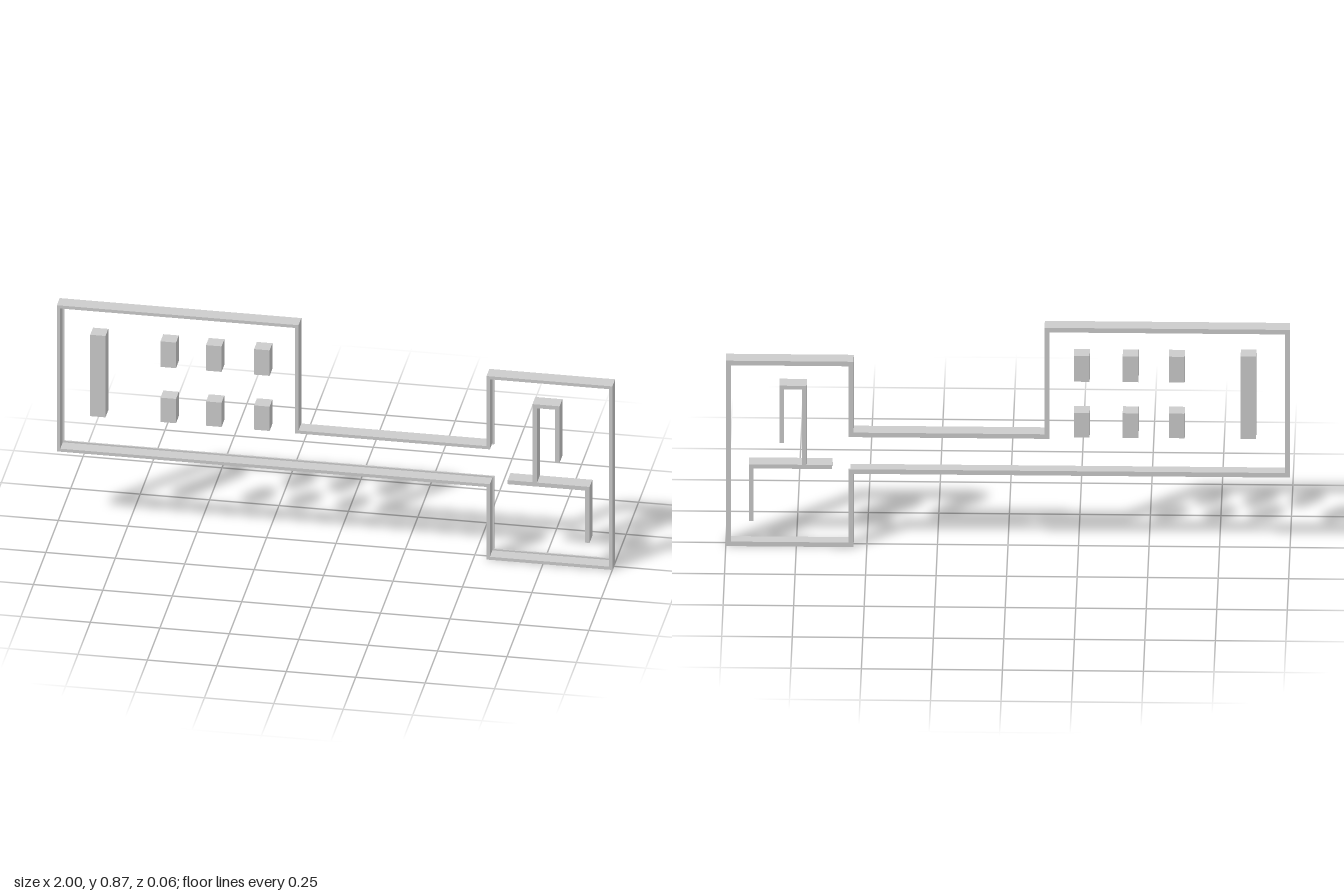
import * as THREE from 'three';

const DEPTH = 0.056;
const LIP = 0.006;
const material = new THREE.MeshStandardMaterial({ color: 0xcccccc, flatShading: true });

// Outer outline, counter-clockwise: long room, corridor, square room
const OUTLINE = [
  [-1, 0.29], [0.547, 0.29], [0.547, 0], [1, 0], [1, 0.733],
  [0.547, 0.733], [0.547, 0.453], [-0.13, 0.453], [-0.13, 0.874], [-1, 0.874],
];

// Moves every side of a right-angled outline inward by d
function inset(points, d) {
  const n = points.length;
  return points.map((p, i) => {
    const a = points[(i + n - 1) % n], b = points[(i + 1) % n];
    const ux = Math.sign(p[0] - a[0]), uy = Math.sign(p[1] - a[1]);
    const vx = Math.sign(b[0] - p[0]), vy = Math.sign(b[1] - p[1]);
    return [p[0] - d * (uy + vy), p[1] + d * (ux + vx)];
  });
}

const toVectors = (points) => points.map(([x, y]) => new THREE.Vector2(x, y));

// Extrudes an outline (with an optional hole) from z0 to z1
function slab(name, points, hole, z0, z1) {
  const shape = new THREE.Shape(toVectors(points));
  if (hole) shape.holes.push(new THREE.Path(toVectors(hole)));
  const geometry = new THREE.ExtrudeGeometry(shape, { depth: z1 - z0, bevelEnabled: false });
  geometry.translate(0, 0, z0);
  const mesh = new THREE.Mesh(geometry, material);
  mesh.name = name;
  return mesh;
}

// Full-depth block between two corners
function block(name, x0, x1, y0, y1) {
  const mesh = new THREE.Mesh(new THREE.BoxGeometry(x1 - x0, y1 - y0, DEPTH), material);
  mesh.position.set((x0 + x1) / 2, (y0 + y1) / 2, 0);
  mesh.name = name;
  return mesh;
}

export function createModel() {
  const model = new THREE.Group();
  model.name = 'floorPlan';
  const h = DEPTH / 2;

  // Outer wall with a narrow lip along its back inner edge
  const wall = new THREE.Group();
  wall.name = 'outerWall';
  wall.add(
    slab('wall', OUTLINE, inset(OUTLINE, 0.012), -h + LIP, h),
    slab('wallLip', OUTLINE, inset(OUTLINE, 0.012 + LIP), -h, -h + LIP),
  );
  model.add(wall);

  // Thin partitions in the square room, as one bent wall
  model.add(slab('partition', [
    [0.623, 0.308], [0.902, 0.308], [0.902, 0.1], [0.918, 0.1], [0.918, 0.324],
    [0.729, 0.324], [0.729, 0.621], [0.794, 0.621], [0.794, 0.41], [0.81, 0.41],
    [0.81, 0.636], [0.713, 0.636], [0.713, 0.324], [0.623, 0.324],
  ], null, -h, h));

  // Blocks in the long room: one tall, then two rows of three
  model.add(block('tallBlock', -0.88, -0.825, 0.442, 0.767));
  for (const x of [-0.599, -0.435, -0.262]) {
    model.add(block('upperBlock', x - 0.028, x + 0.028, 0.662, 0.764));
    model.add(block('lowerBlock', x - 0.028, x + 0.028, 0.442, 0.539));
  }
  return model;
}
